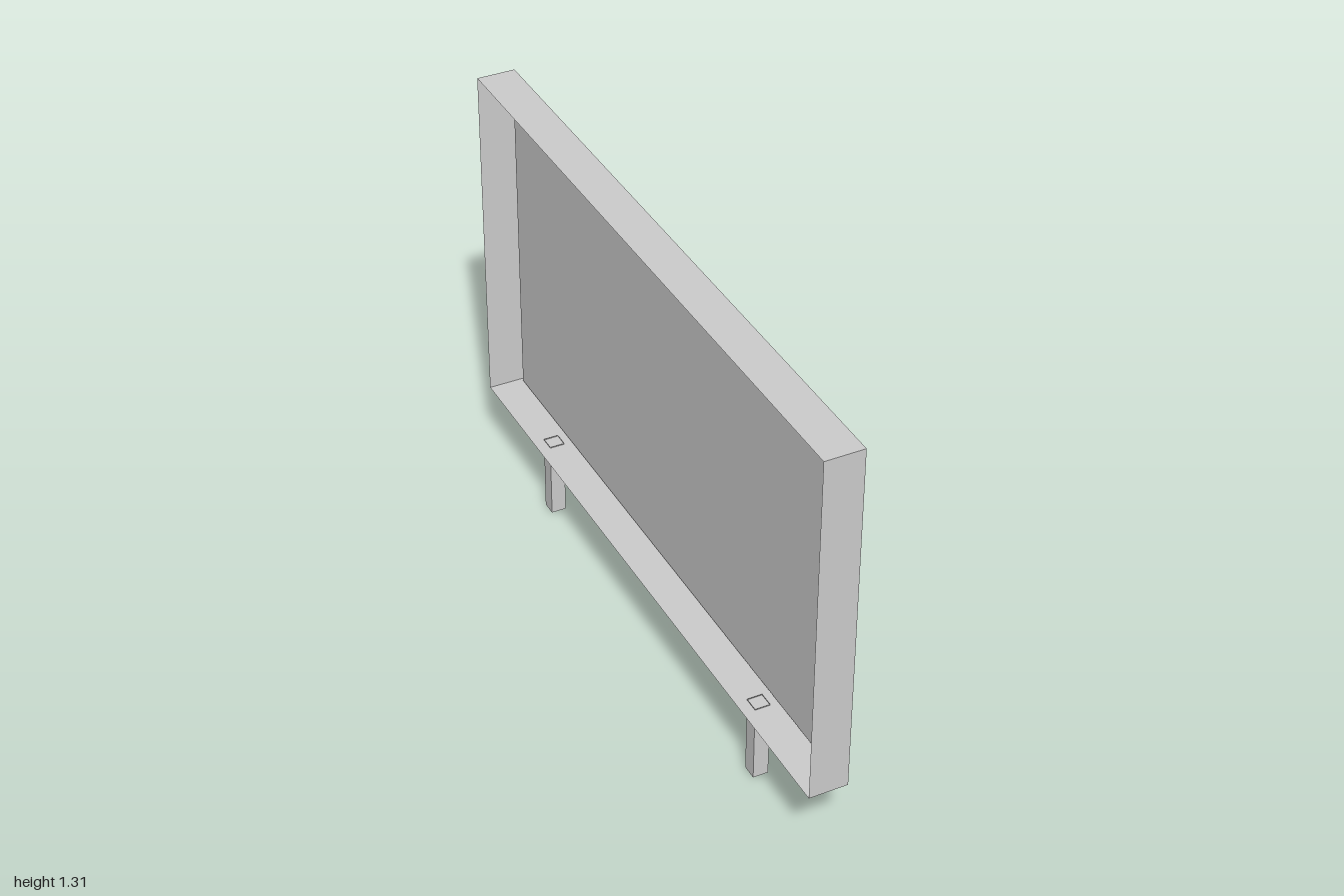
import * as THREE from 'three';

const material = new THREE.MeshStandardMaterial({
  color: 0xcccccc, flatShading: true, side: THREE.DoubleSide,
});

// Thin open square tube, upright along y, unit size
function unitTube() {
  return new THREE.CylinderGeometry(Math.SQRT1_2, Math.SQRT1_2, 1, 4, 1, true).rotateY(Math.PI / 4);
}

function add(group, name, geometry, x, y, z) {
  const mesh = new THREE.Mesh(geometry, material);
  mesh.name = name;
  mesh.position.set(x, y, z);
  group.add(mesh);
}

function rectangle(PathType, w, h) {
  return new PathType([[-1, -1], [1, -1], [1, 1], [-1, 1]]
    .map(([a, b]) => new THREE.Vector2(a * w / 2, b * h / 2)));
}

export function createModel() {
  const model = new THREE.Group();
  model.name = 'signBoard';

  const bottom = 0.24, top = 1.305, length = 2;
  const height = top - bottom, midY = (top + bottom) / 2;
  const face = 0.057, recess = 0.015;
  const openLength = 1.952, openHeight = height - 0.02;

  // Casing walls, open towards -x
  add(model, 'casing', unitTube().rotateZ(Math.PI / 2).scale(face * 2, height, length), 0, midY, 0);

  // Narrow rim around the panel on the +x side
  const rim = rectangle(THREE.Shape, length, height);
  rim.holes.push(rectangle(THREE.Path, openLength, openHeight));
  add(model, 'rim', new THREE.ShapeGeometry(rim).rotateY(Math.PI / 2), face, midY, 0);

  // Shallow recess leading to the display panel
  add(model, 'recessWalls', unitTube().rotateZ(Math.PI / 2).scale(recess, openHeight, openLength),
    face - recess / 2, midY, 0);
  add(model, 'panel', new THREE.PlaneGeometry(openLength, openHeight).rotateY(Math.PI / 2),
    face - recess, midY, 0);

  // Hollow legs, just showing through the casing floor
  const legHeight = bottom + 0.003;
  for (const z of [0.623, -0.661]) {
    add(model, 'leg', unitTube().scale(0.045, legHeight, 0.045), 0, legHeight / 2, z);
  }
  return model;
}
